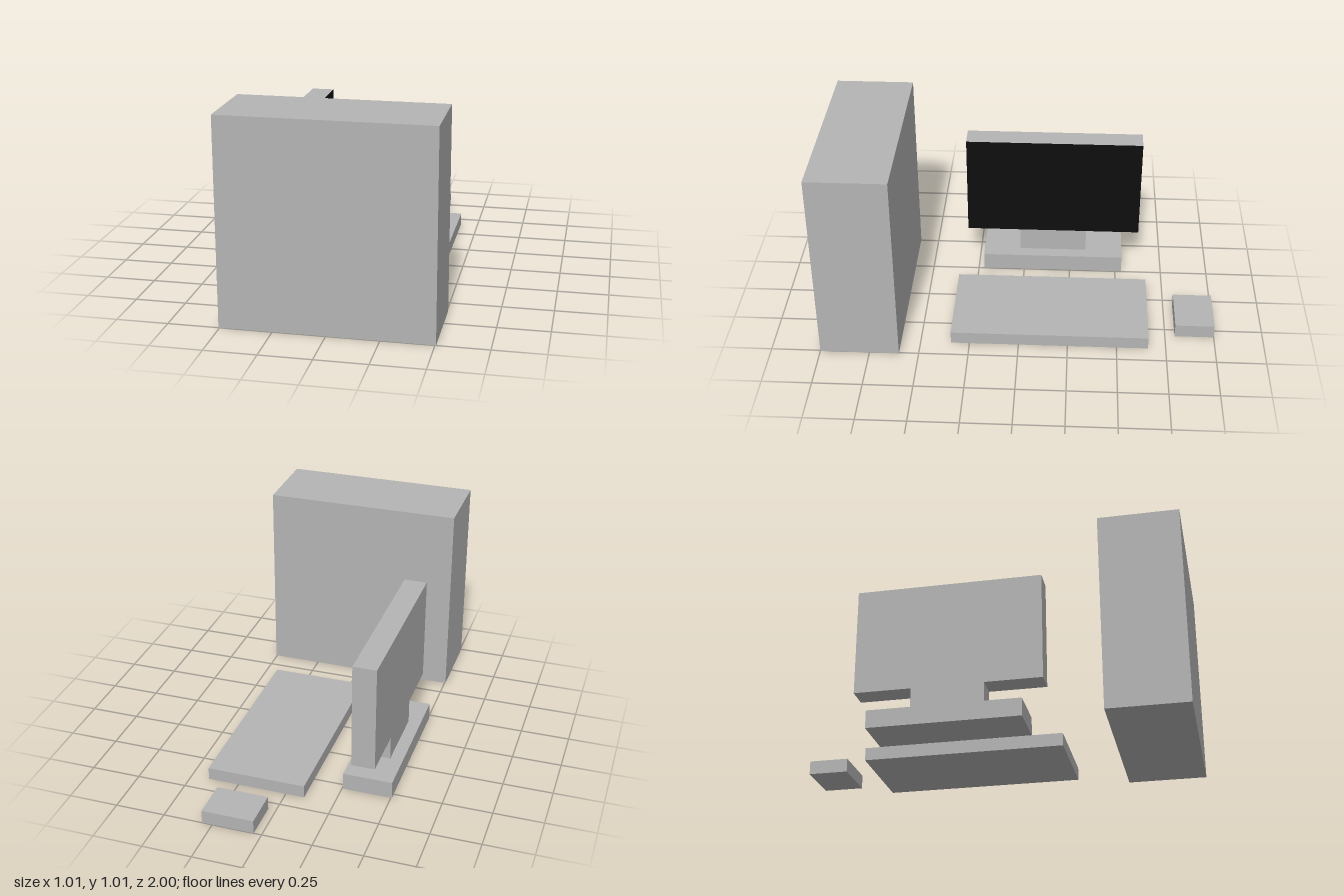
import * as THREE from 'three';

export function createModel() {
  const group = new THREE.Group();
  const casing = new THREE.MeshStandardMaterial({ color: 0xb4b4b4 });
  casing.name = 'casingGrey';
  const glass = new THREE.MeshStandardMaterial({ color: 0x0e0e0e });
  glass.name = 'screenBlack';

  // box from its limits on each axis
  function block(name, [x0, x1], [y0, y1], [z0, z1], material = casing, parent = group) {
    const mesh = new THREE.Mesh(new THREE.BoxGeometry(x1 - x0, y1 - y0, z1 - z0), material);
    mesh.position.set((x0 + x1) / 2, (y0 + y1) / 2, (z0 + z1) / 2);
    mesh.name = name;
    parent.add(mesh);
    return mesh;
  }

  // computer case
  block('computerCase', [-0.505, 0.505], [0, 1.01], [0.6, 1]);

  // monitor, its screen facing +x
  const monitor = new THREE.Group();
  monitor.name = 'monitor';
  group.add(monitor);
  block('monitorBase', [-0.505, -0.255], [0, 0.09], [-0.533, 0.22], casing, monitor);
  block('monitorNeck', [-0.44, -0.322], [0.09, 0.215], [-0.335, 0.025], casing, monitor);
  // the first box face (+x) is the dark display
  const panelMaterials = [glass, casing, casing, casing, casing, casing];
  block('monitorPanel', [-0.44, -0.322], [0.215, 0.763], [-0.62, 0.31], panelMaterials, monitor);

  // keyboard and mouse
  block('keyboard', [-0.095, 0.407], [0, 0.065], [-0.66, 0.345]);
  block('mouse', [0.04, 0.302], [0, 0.07], [-1, -0.8]);

  return group;
}
